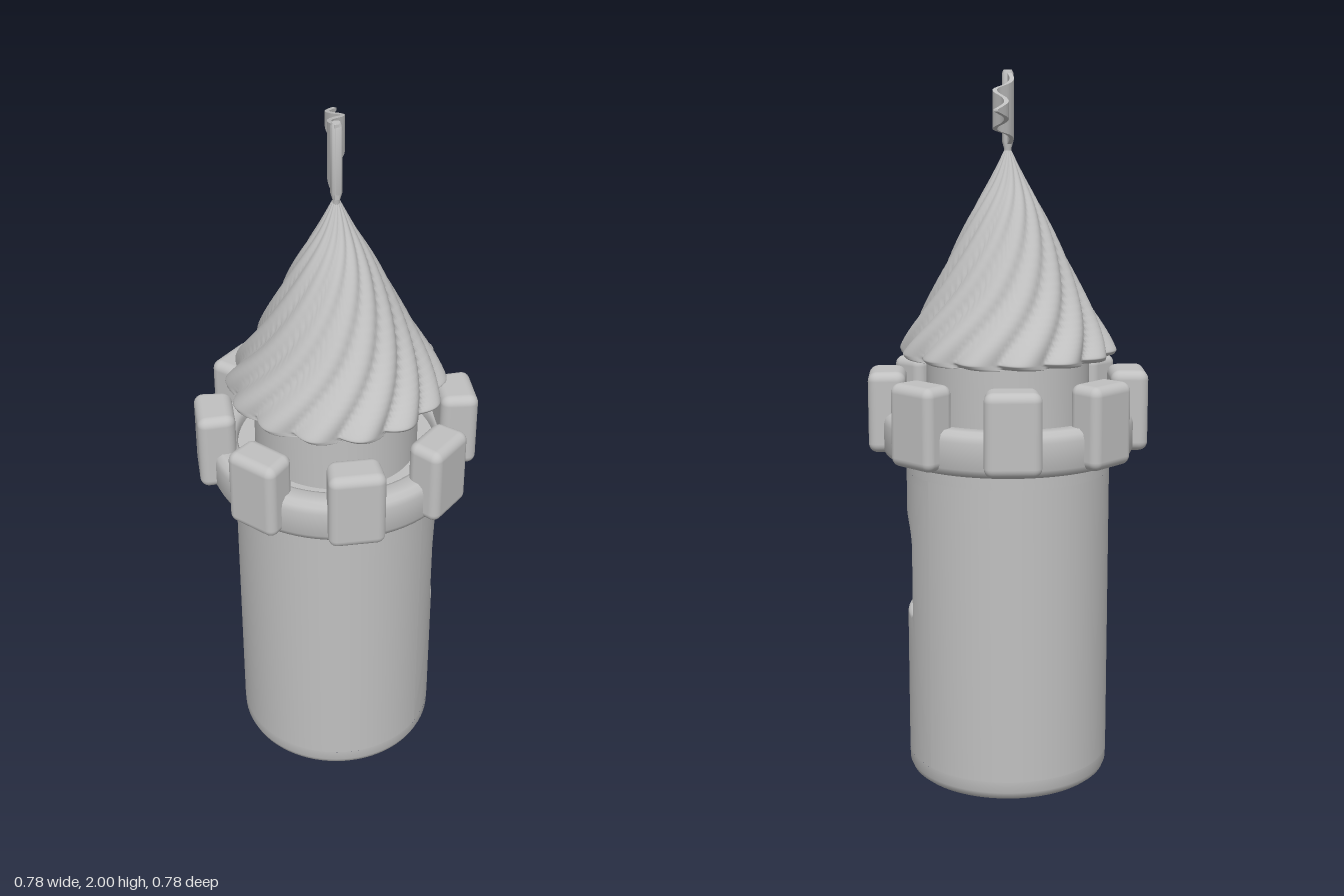
import * as THREE from 'three';
import { mergeVertices, toCreasedNormals } from 'three/addons/utils/BufferGeometryUtils.js';
import { RoundedBoxGeometry } from 'three/addons/geometries/RoundedBoxGeometry.js';

const stone = new THREE.MeshStandardMaterial({ color: 0xc0c0c0 });
stone.name = 'grey stone';

const R = 0.288, INNER = 0.24;            // wall radii
const LOW = 0.06, HIGH = 0.9;             // wall section holding the window
const FACING = Math.PI / 2 - 0.04, SPREAD = 0.7;

const vec = (points) => points.map(([x, y]) => new THREE.Vector2(x, y));

function indexed(positions, indices) {
  const g = new THREE.BufferGeometry();
  g.setAttribute('position', new THREE.Float32BufferAttribute(positions, 3));
  g.setIndex(indices);
  g.computeVertexNormals();
  return g;
}

function turned(points, start = 0, length = Math.PI * 2) {
  return toCreasedNormals(new THREE.LatheGeometry(vec(points), 80, start, length), 0.7);
}

// Closed loop of [angle, height]: bottom, right, top and left sides, n steps each
function loop(halfAngle, y0, y1, arched, n = 14) {
  const out = [], spring = arched ? y1 - halfAngle * R : y1;
  for (let side = 0; side < 4; side++) {
    for (let i = 0; i < n; i++) {
      const t = i / n, across = halfAngle * (2 * t - 1);
      if (side === 0) out.push([across, y0]);
      if (side === 1) out.push([halfAngle, y0 + (spring - y0) * t]);
      if (side === 2) {
        if (arched) out.push([halfAngle * Math.cos(Math.PI * t), spring + halfAngle * R * Math.sin(Math.PI * t)]);
        else out.push([-across, y1]);
      }
      if (side === 3) out.push([-halfAngle, spring + (y0 - spring) * t]);
    }
  }
  return out;
}

// Curved wall panel: rings run in to the window, through the jamb, then out along the inside
function windowWall() {
  const border = loop(SPREAD, LOW, HIGH, false);
  const hole = loop(0.335, 0.485, 0.775, true);
  const rings = [];
  for (let k = 0; k <= 6; k++) rings.push([k / 6 * 0.97, R]);
  rings.push([0.99, R - 0.002], [1, R - 0.009], [1, INNER + 0.008], [0.99, INNER]);
  for (let k = 5; k >= 0; k--) rings.push([k / 6, INNER]);
  const pos = [], idx = [], n = border.length;
  rings.forEach(([t, r], k) => {
    for (let i = 0; i < n; i++) {
      const a = FACING + border[i][0] + (hole[i][0] - border[i][0]) * t;
      const y = border[i][1] + (hole[i][1] - border[i][1]) * t;
      pos.push(r * Math.sin(a), y, r * Math.cos(a));
      if (k === rings.length - 1) continue;
      const j = (i + 1) % n, p = k * n, q = p + n;
      idx.push(p + i, p + j, q + j, p + i, q + j, q + i);
    }
  });
  return indexed(pos, idx);
}

// Cone whose folds swirl around the axis
function swirlRoof() {
  const profile = [[0.2, 1.228], [0.275, 1.222], [0.3, 1.232], [0.292, 1.262], [0.212, 1.4],
    [0.11, 1.6], [0.048, 1.71], [0.01, 1.785]];
  const points = new THREE.SplineCurve(vec(profile)).getPoints(60);
  let g = new THREE.LatheGeometry(points, 196);
  g.deleteAttribute('normal');
  g.deleteAttribute('uv');
  g = mergeVertices(g, 1e-5);
  const p = g.attributes.position;
  for (let i = 0; i < p.count; i++) {
    const x = p.getX(i), z = p.getZ(i), r = Math.hypot(x, z);
    const phase = Math.atan2(z, x) - 1.7 * r / 0.3;
    const f = 0.905 + 0.1 * Math.abs(Math.sin(7 * phase));
    p.setX(i, x * f);
    p.setZ(i, z * f);
  }
  g.computeVertexNormals();
  return g;
}

// Tapering pennant that follows a wavy path away from the pole
function pennant() {
  const path = new THREE.SplineCurve(vec([[0, 0.018], [-0.008, -0.05], [0.004, -0.095], [0.037, -0.135],
    [0.04, -0.165], [0.02, -0.21], [0.018, -0.25], [0.046, -0.3]]));
  const steps = 48, pos = [], idx = [];
  for (let i = 0; i <= steps; i++) {
    const t = i / steps, c = path.getPoint(t), d = path.getTangent(t);
    const half = 0.1 * (0.018 - c.y) / -0.318 + 0.1 + 0.003;
    const nx = -d.y * 0.006, nz = d.x * 0.006;
    for (const [s, v] of [[1, -1], [1, 1], [-1, 1], [-1, -1]]) {
      pos.push(c.x + s * nx, Math.min(1.897 + v * half, 2), c.y + s * nz);
    }
    if (i === steps) continue;
    for (let k = 0; k < 4; k++) {
      const a = i * 4 + k, b = i * 4 + (k + 1) % 4;
      idx.push(a, a + 4, b + 4, a, b + 4, b);
    }
  }
  const e = steps * 4;
  idx.push(0, 1, 2, 0, 2, 3, e, e + 2, e + 1, e, e + 3, e + 2);
  return toCreasedNormals(indexed(pos, idx), 0.7);
}

export function createModel() {
  const model = new THREE.Group();
  model.name = 'castleTower';
  const add = (name, geometry, parent = model) => {
    const mesh = new THREE.Mesh(geometry, stone);
    mesh.name = name;
    parent.add(mesh);
    return mesh;
  };

  // Hollow shaft
  const rest = [FACING + SPREAD, Math.PI * 2 - 2 * SPREAD];
  add('base', turned([[0, 0], [0.255, 0], [0.27, 0.004], [0.281, 0.013], [0.287, 0.028], [R, LOW]]));
  add('outerWall', turned([[R, LOW], [R, HIGH]], ...rest));
  add('innerWall', turned([[INNER, HIGH], [INNER, LOW]], ...rest));
  add('windowWall', windowWall());
  add('chamberFloor', turned([[INNER, LOW], [0, LOW]]));
  add('chamberCeiling', turned([[0, HIGH], [INNER, HIGH]]));

  // Parapet ring and the drum behind it
  add('parapet', turned([[R, HIGH], [R, 0.945], [0.335, 0.945], [0.348, 0.952], [0.355, 0.968], [0.355, 1.04],
    [0.35, 1.058], [0.336, 1.068], [0.295, 1.068], [0.283, 1.062], [0.277, 1.05], [0.277, 1.03],
    [0.228, 1.03], [0.228, 1.245]]));

  // Eight rounded battlements, a little narrower towards the inside
  const block = new RoundedBoxGeometry(0.157, 0.228, 0.105, 4, 0.026);
  const bp = block.attributes.position;
  for (let i = 0; i < bp.count; i++) bp.setX(i, bp.getX(i) * (0.95 + bp.getZ(i)));
  const battlements = new THREE.Group();
  battlements.name = 'battlements';
  model.add(battlements);
  for (let i = 0; i < 8; i++) {
    const a = i * Math.PI / 4 - 0.015;
    const m = add('battlement', block, battlements);
    m.position.set(0.338 * Math.sin(a), 1.069, 0.338 * Math.cos(a));
    m.rotation.y = a;
  }

  // Roof and flag
  add('roof', swirlRoof());
  const pole = add('flagPole', turned([[0, 1.76], [0.01, 1.765], [0.01, 1.79], [0.016, 1.81], [0.016, 1.99], [0.011, 2], [0, 2]]));
  pole.position.z = 0.003;
  add('flag', pennant());
  return model;
}
